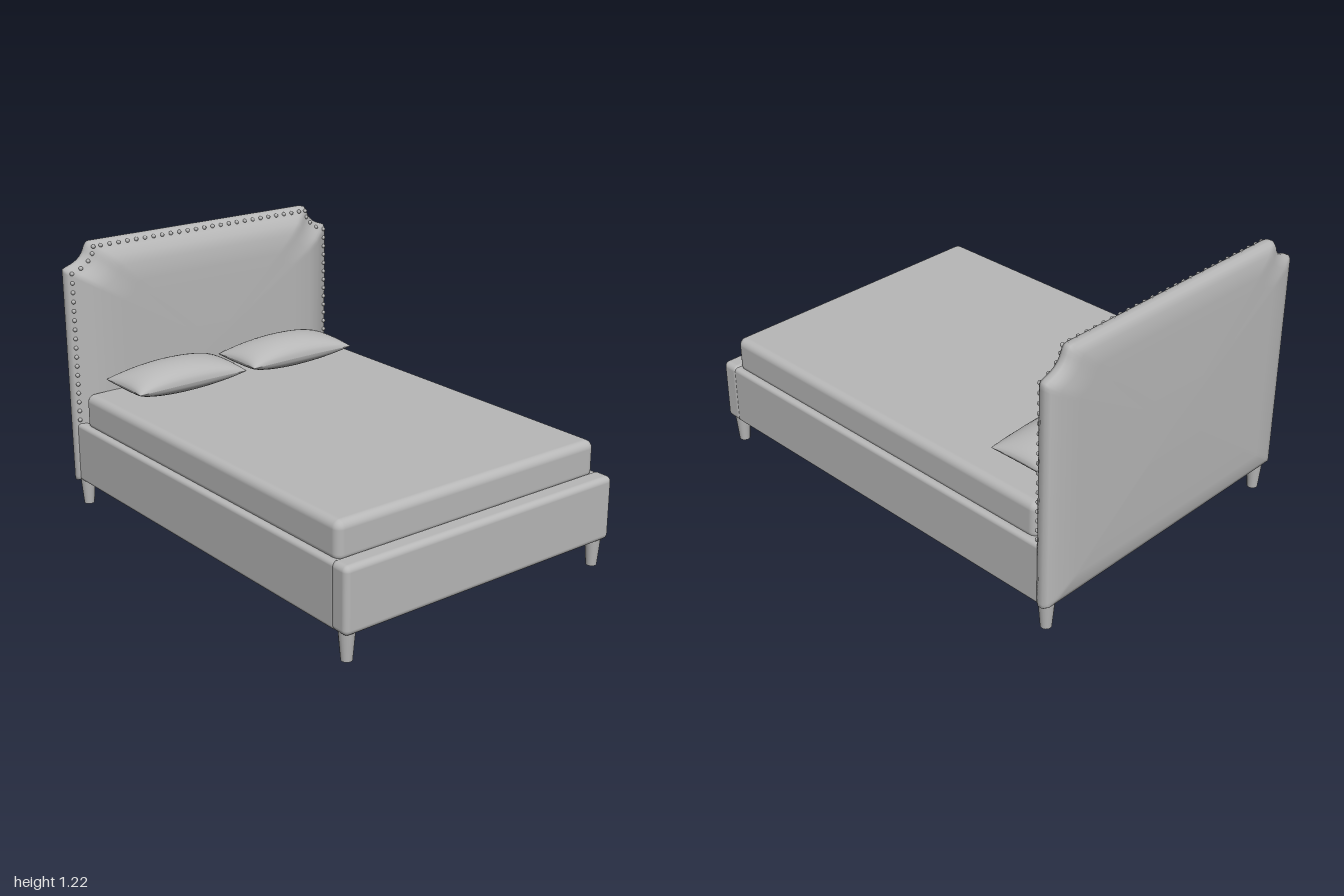
import * as THREE from 'three';
import { RoundedBoxGeometry } from 'three/addons/geometries/RoundedBoxGeometry.js';

const fabric = new THREE.MeshStandardMaterial({ color: 0xb8b8b8 });
fabric.name = 'grey fabric';

function add(parent, name, geometry, x = 0, y = 0, z = 0) {
  const mesh = new THREE.Mesh(geometry, fabric);
  mesh.name = name;
  mesh.position.set(x, y, z);
  parent.add(mesh);
  return mesh;
}

// Box with soft edges, given by its minimum and maximum corners
function softBox(parent, name, min, max, radius) {
  const size = max.map((v, i) => v - min[i]);
  const mid = max.map((v, i) => (v + min[i]) / 2);
  return add(parent, name, new RoundedBoxGeometry(...size, 4, radius), ...mid);
}

// Padded panel: an outline repeated at [scale, z] steps from back to front
function paddedPanel(outline, centreY, steps) {
  const positions = [], index = [], n = outline.length;
  for (const [s, z] of steps)
    for (const p of outline) positions.push(p.x * s, centreY + (p.y - centreY) * s, z);
  for (let i = 0; i < steps.length - 1; i++)
    for (let j = 0; j < n; j++) {
      const a = i * n + j, b = i * n + (j + 1) % n;
      index.push(a, b, b + n, a, b + n, a + n);
    }
  const g = new THREE.BufferGeometry();
  g.setAttribute('position', new THREE.Float32BufferAttribute(positions, 3));
  g.setIndex(index);
  g.computeVertexNormals();
  return g;
}

// Headboard outline with scooped upper corners
function headboardOutline() {
  const s = new THREE.Shape();
  s.moveTo(-0.712, 0.12);
  s.lineTo(0.712, 0.12);
  s.lineTo(0.718, 1.106);
  s.lineTo(0.695, 1.116);
  s.quadraticCurveTo(0.622, 1.135, 0.607, 1.195);
  s.lineTo(0.593, 1.215);
  s.lineTo(-0.593, 1.215);
  s.lineTo(-0.607, 1.195);
  s.quadraticCurveTo(-0.622, 1.135, -0.695, 1.116);
  s.lineTo(-0.718, 1.106);
  s.lineTo(-0.712, 0.12);
  return s.getSpacedPoints(300).slice(0, -1);
}

// Pillow: a box whose top and bottom swell towards the middle and meet at a seam
function pillowGeometry() {
  const g = new THREE.BoxGeometry(2, 2, 2, 28, 1, 18);
  const p = g.attributes.position;
  for (let i = 0; i < p.count; i++) {
    const u = Math.sin(p.getX(i) * Math.PI / 2), v = Math.sin(p.getZ(i) * Math.PI / 2);
    const a = Math.max(0, 1 - u * u), b = Math.max(0, 1 - v * v);
    const h = Math.pow(a, 0.5) * Math.pow(b, 0.45);
    p.setXYZ(i, u * 0.282 * (1 - 0.035 * b), h * (p.getY(i) > 0 ? 0.078 : -0.065),
      v * 0.143 * (1 - 0.05 * a));
  }
  g.computeVertexNormals();
  return g;
}

export function createModel() {
  const bed = new THREE.Group();
  bed.name = 'bed';

  // Headboard with cushioned front and slightly domed back
  add(bed, 'headboard', paddedPanel(headboardOutline(), 0.665, [
    [0, -1], [0.8, -0.997], [0.93, -0.988], [0.985, -0.974], [1, -0.958],
    [1, -0.936], [0.987, -0.92], [0.96, -0.912], [0.93, -0.899], [0.88, -0.878],
    [0.8, -0.861], [0.65, -0.853], [0, -0.85],
  ]));

  // Nailhead trim along the sides, scooped corners and top
  const nails = new THREE.Group();
  nails.name = 'nailheadTrim';
  bed.add(nails);
  const nail = new THREE.SphereGeometry(0.0095, 10, 8);
  const addNail = (x, y) => add(nails, 'nailhead', nail, x, y, -0.912);
  for (const side of [-1, 1]) {
    for (let i = 0; i < 17; i++) addNail(side * 0.695, 0.415 + i * 0.0422);
    for (const [x, y] of [[0.65, 1.108], [0.612, 1.135], [0.59, 1.165], [0.583, 1.196]])
      addNail(side * x, y);
  }
  for (let i = 0; i < 25; i++) addNail(-0.546 + i * 0.0455, 1.197);

  // Upholstered frame
  softBox(bed, 'footboard', [-0.705, 0.12, 0.905], [0.705, 0.402, 1], 0.025);
  for (const side of [-1, 1]) {
    const x = [side * 0.65, side * 0.703].sort((a, b) => a - b);
    softBox(bed, 'sideRail', [x[0], 0.12, -0.94], [x[1], 0.396, 0.93], 0.018);
  }

  // Cross slats under the mattress
  for (const z of [-0.66, -0.08, 0.5])
    add(bed, 'slat', new THREE.BoxGeometry(1.31, 0.04, 0.06), 0, 0.22, z);

  // Mattress
  softBox(bed, 'mattress', [-0.678, 0.375, -0.885], [0.678, 0.542, 0.918], 0.035);

  // Pillows
  const pillow = pillowGeometry();
  for (const x of [-0.308, 0.298]) add(bed, 'pillow', pillow, x, 0.603, -0.7);

  // Tapered legs
  const leg = new THREE.CylinderGeometry(0.034, 0.023, 0.125, 20);
  for (const x of [-0.66, 0.66])
    for (const z of [-0.932, 0.95]) add(bed, 'leg', leg, x, 0.0625, z);

  return bed;
}
